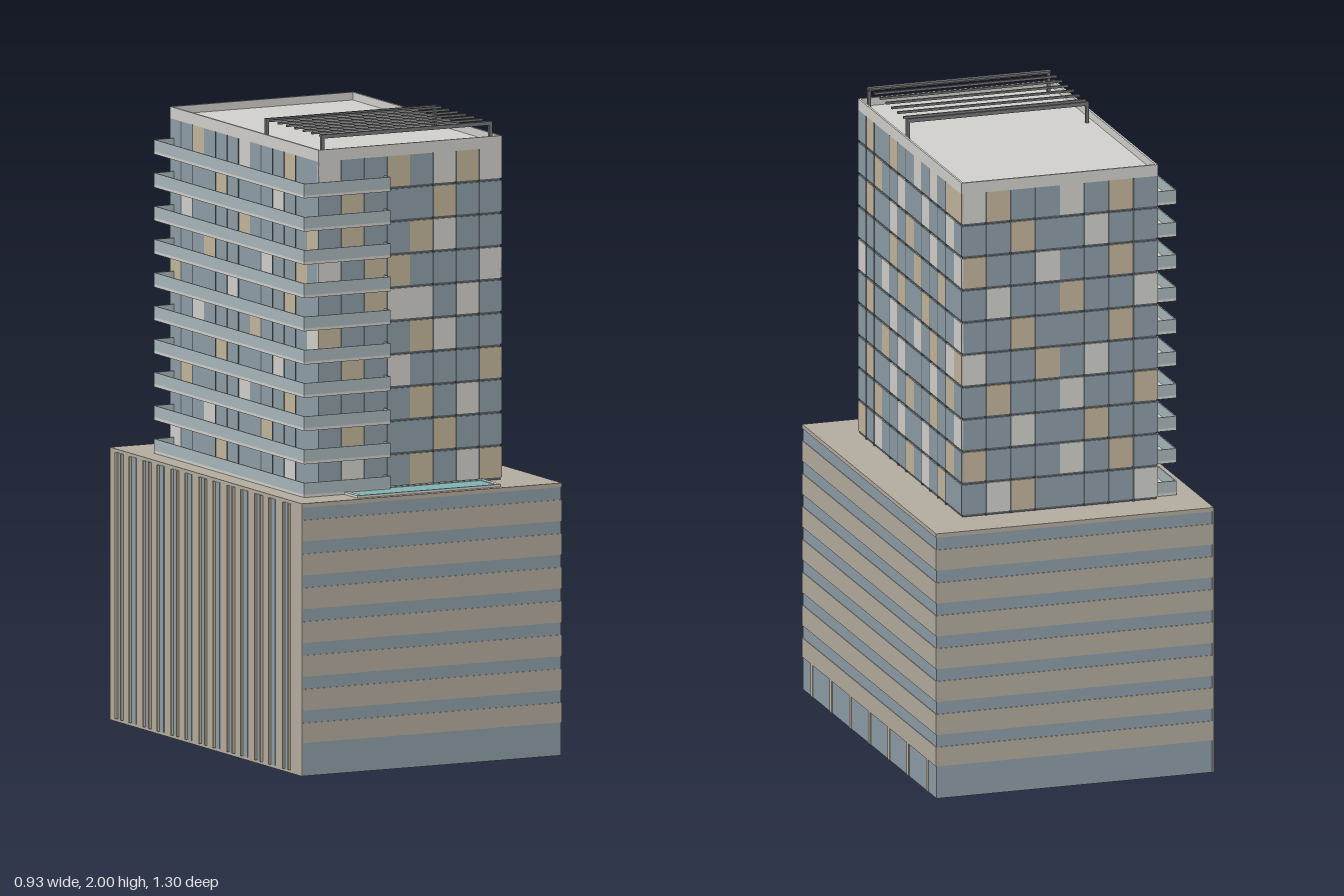
import * as THREE from 'three';

const mat = (color) => new THREE.MeshStandardMaterial({ color });
const M = {
  stone: mat(0xb5ada0), tan: mat(0xc5b79d), glass: mat(0x8f9fa9), white: mat(0xd3d2ce),
  dark: mat(0x5c6368), rail: mat(0xabb9bd), water: mat(0x7fb5b6), metal: mat(0x77787a),
};

// Box given by its min and max corners
function box(parent, name, m, x0, x1, y0, y1, z0, z1) {
  const mesh = new THREE.Mesh(new THREE.BoxGeometry(x1 - x0, y1 - y0, z1 - z0), m);
  mesh.position.set((x0 + x1) / 2, (y0 + y1) / 2, (z0 + z1) / 2);
  mesh.name = name;
  parent.add(mesh);
  return mesh;
}

function group(parent, name) {
  const g = new THREE.Group();
  g.name = name;
  parent.add(g);
  return g;
}

const FLOOR0 = 0.865, FLOOR_H = 0.1055, FLOORS = 10;
const T = { x0: -0.322, x1: 0.328, z0: -0.503, z1: 0.503 };  // tower
const P = { x0: -0.456, x1: 0.463, z0: -0.65, z1: 0.65 };    // podium

// Panel colours, top floor first: B glass, W white, T tan
const FRONT = ['WBBTBWTW', 'BTBBBTBB', 'BTBBTWBB', 'WBTTBBBW', 'BBTWWBWB',
  'TBBBTWBB', 'BTBWBBBT', 'BBBBTBWB', 'BTBBBTBB', 'BWBBTBWT'];
const RIGHT = ['BTBBTBBWBWBTT', 'BBTBBWBBWBBWB', 'BTBBWBTBBWBBW', 'BBBBTBBTBBTBB',
  'WBBWBTBBTBBBW', 'BTBBWBBWBTBWT', 'BBBTBWBBBWBTB', 'BTBBWBTBBTBBW',
  'BBTBBWBBWBBTB', 'TBWBBBTBWBTBB'];
const BACK = ['WTBBWBTB', 'BBTBBWBB', 'TBBWBBTB', 'BWBBTBBW', 'BBTBBBTB',
  'WBBTBWBB', 'BTBBWBBT', 'BBWBBTBB', 'TBBBWBTB', 'BWTBBBBW'];
const LEFT = ['BBTBBBWBBBTBB', 'BBBBTBBBBWBBB', 'BWBBBBTBBBBBT', 'BBBTBBBBWBBTB',
  'TBBBBWBBBBTBB', 'BBWBBBBTBBBBW', 'BBBBTBBBBWBBB', 'BTBBBBWBBBTBB',
  'BBBWBBBBTBBBB', 'WBBBTBBBBBWBB'];
const KEY = { B: M.glass, W: M.white, T: M.tan };

// One facade lying in local xy, facing local +z
function facade(parent, name, rows, width, mullions) {
  const g = group(parent, name);
  const n = rows[0].length, w = width / n;
  rows.forEach((row, r) => {
    const y = FLOOR0 + (FLOORS - 1 - r) * FLOOR_H;
    [...row].forEach((c, i) => {
      const x = -width / 2 + i * w;
      box(g, 'facadePanel', KEY[c], x, x + w, y + 0.008, y + FLOOR_H, -0.005, 0);
    });
  });
  mullions.forEach((i) => {
    const x = -width / 2 + i * w;
    box(g, 'mullion', M.dark, x - 0.0025, x + 0.0025, FLOOR0, FLOOR0 + FLOORS * FLOOR_H, -0.004, 0.001);
  });
  return g;
}

function buildPodium(root) {
  const g = group(root, 'podium');
  // Alternating wall and window bands
  const glassBands = [[0, 0.105]];
  for (let i = 0; i < 7; i++) glassBands.push([0.168 + i * 0.1073, 0.208 + i * 0.1073]);
  let y = 0;
  glassBands.forEach(([a, b]) => {
    if (a > y) box(g, 'wallBand', M.stone, P.x0, P.x1, y, a, P.z0, P.z1);
    box(g, 'windowBand', M.glass, P.x0 + 0.002, P.x1 - 0.002, a, b, P.z0 + 0.002, P.z1 - 0.002);
    y = b;
  });
  box(g, 'podiumRoof', M.stone, P.x0, P.x1, y, FLOOR0, P.z0, P.z1);
  // Ground floor columns on the right
  for (let i = -3; i <= 3; i++) {
    const z = i * 0.187;
    box(g, 'groundColumn', M.tan, P.x1 - 0.006, P.x1, 0, 0.105, z - 0.01, z + 0.01);
  }
  // Left wall with upright fins and narrow window strips
  box(g, 'leftWall', M.stone, P.x0 - 0.001, P.x0 + 0.004, 0, FLOOR0, P.z0, P.z1);
  for (let i = 0; i < 13; i++) {
    const z = -0.6 + i * 0.0945;
    box(g, 'fin', M.tan, P.x0 - 0.009, P.x0, 0.01, 0.855, z - 0.004, z + 0.004);
    box(g, 'windowStrip', M.glass, P.x0 - 0.003, P.x0, 0.01, 0.855, z + 0.006, z + 0.034);
    if (i % 2 === 0) box(g, 'fin', M.tan, P.x0 - 0.009, P.x0, 0.01, 0.855, z + 0.034, z + 0.041);
  }
}

function buildTower(root) {
  const g = group(root, 'tower');
  const e = 0.004, top = FLOOR0 + FLOORS * FLOOR_H, w = T.x1 - T.x0, d = T.z1 - T.z0, cx = (T.x0 + T.x1) / 2;
  box(g, 'towerCore', M.dark, T.x0 + e, T.x1 - e, FLOOR0, top, T.z0 + e, T.z1 - e);
  // Four panelled sides
  const endLines = [1, 2, 3, 5, 6, 7], sideLines = [1, 2, 4, 5, 6, 8, 9, 10, 11];
  [['frontFacade', FRONT, w, endLines, cx, T.z1, 0],
    ['rightFacade', RIGHT, d, sideLines, T.x1, 0, Math.PI / 2],
    ['backFacade', BACK, w, endLines, cx, T.z0, Math.PI],
    ['leftFacade', LEFT, d, sideLines, T.x0, 0, -Math.PI / 2]].forEach(([name, rows, width, lines, x, z, turn]) => {
    const f = facade(g, name, rows, width, lines);
    f.position.set(x, 0, z);
    f.rotation.y = turn;
  });
  // Roof and parapet
  const H = 1.957, t = 0.007;
  box(g, 'roof', M.white, T.x0, T.x1, top, 1.932, T.z0, T.z1);
  box(g, 'parapet', M.white, T.x0, T.x0 + t, 1.932, H, T.z0, T.z1);
  box(g, 'parapet', M.white, T.x1 - t, T.x1, 1.932, H, T.z0, T.z1);
  box(g, 'parapet', M.white, T.x0 + t, T.x1 - t, 1.932, H, T.z0, T.z0 + t);
  box(g, 'parapet', M.white, T.x0 + t, T.x1 - t, 1.932, H, T.z1 - t, T.z1);
}

// L-shaped balconies wrapping the left side and the front corner
function buildBalconies(root) {
  const x0 = -0.392, x1 = -0.086, z0 = -0.478, z1 = 0.542, t = 0.004;
  for (let k = 0; k < FLOORS; k++) {
    const g = group(root, 'balcony');
    const y = FLOOR0 + k * FLOOR_H, a = y + 0.009, b = y + 0.046;
    box(g, 'balconySlab', M.white, x0, T.x0, y, a, z0, z1);
    box(g, 'balconySlab', M.white, T.x0, x1, y, a, T.z1, z1);
    box(g, 'leftRailing', M.rail, x0, x0 + t, a, b, z0, z1);
    box(g, 'frontRailing', M.rail, x0 + t, x1, a, b, z1 - t, z1);
    box(g, 'endRailing', M.rail, x1 - t, x1, a, b, T.z1, z1 - t);
    box(g, 'endRailing', M.rail, x0 + t, T.x0, a, b, z0, z0 + t);
  }
}

function buildPool(root) {
  const g = group(root, 'pool');
  const x0 = -0.25, x1 = 0.258, z0 = 0.507, z1 = 0.63, t = 0.016, y = FLOOR0, h = 0.873;
  box(g, 'poolRim', M.white, x0, x1, y, h, z0, z0 + t);
  box(g, 'poolRim', M.white, x0, x1, y, h, z1 - t / 2, z1);
  box(g, 'poolRim', M.white, x0, x0 + t, y, h, z0 + t, z1 - t / 2);
  box(g, 'poolRim', M.white, x1 - t, x1, y, h, z0 + t, z1 - t / 2);
  box(g, 'water', M.water, x0 + t, x1 - t, y, h - 0.002, z0 + t, z1 - t / 2);
}

// Roof pergola: posts, end beams and slats
function buildPergola(root) {
  const g = group(root, 'pergola');
  const x0 = -0.297, x1 = 0.307;
  for (const z of [0.097, 0.472]) {
    box(g, 'beam', M.metal, x0, x1, 1.988, 2, z - 0.005, z + 0.005);
    for (const x of [x0 + 0.005, x1 - 0.005]) {
      box(g, 'post', M.metal, x - 0.005, x + 0.005, 1.932, 1.988, z - 0.005, z + 0.005);
    }
  }
  for (let i = 0; i < 7; i++) {
    const z = 0.127 + i * 0.0563;
    box(g, 'slat', M.metal, x0, x1, 1.993, 2, z - 0.004, z + 0.004);
  }
}

export function createModel() {
  const root = new THREE.Group();
  root.name = 'building';
  buildPodium(root);
  buildTower(root);
  buildBalconies(root);
  buildPool(root);
  buildPergola(root);
  return root;
}
